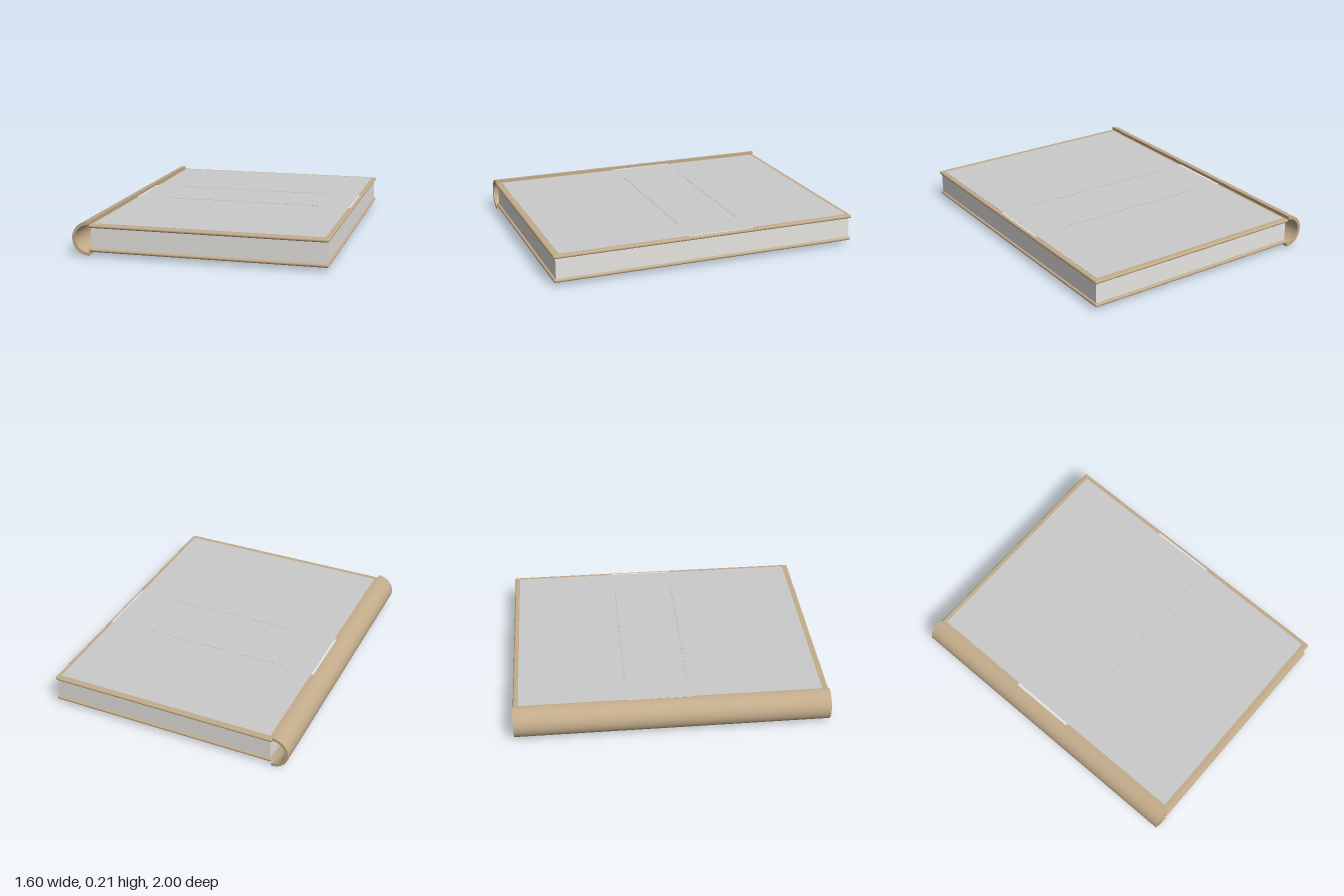
import * as THREE from 'three';
import { RoundedBoxGeometry } from 'three/addons/geometries/RoundedBoxGeometry.js';

const leather = new THREE.MeshStandardMaterial({ color: 0xc3ac8b });
const paper = new THREE.MeshStandardMaterial({ color: 0xe6e5e1 });
const grey = new THREE.MeshStandardMaterial({ color: 0xcccccc });

export function createModel() {
  const book = new THREE.Group();
  book.name = 'book';

  const add = (name, geometry, material, x = 0, y = 0, z = 0) => {
    const mesh = new THREE.Mesh(geometry, material);
    mesh.name = name;
    mesh.position.set(x, y, z);
    book.add(mesh);
    return mesh;
  };
  // Box given by its limits on each axis
  const slab = (name, material, [x0, x1], [y0, y1], [z0, z1]) =>
    add(name, new THREE.BoxGeometry(x1 - x0, y1 - y0, z1 - z0), material,
      (x0 + x1) / 2, (y0 + y1) / 2, (z0 + z1) / 2);

  // Front and back boards with rounded edges
  const board = new RoundedBoxGeometry(1.494, 0.022, 2, 4, 0.0108);
  add('bottomCover', board, leather, 0.053, 0.035, 0);
  add('topCover', board, leather, 0.053, 0.186, 0);

  // Page block
  slab('pages', paper, [-0.68, 0.788], [0.044, 0.177], [-0.985, 0.985]);

  // Half-tube spine, open towards the pages
  const arc = new THREE.Shape();
  arc.absarc(0, 0, 0.107, Math.PI / 2, Math.PI * 1.5, false);
  arc.absarc(0, 0, 0.087, Math.PI * 1.5, Math.PI / 2, true);
  arc.closePath();
  const spine = new THREE.ExtrudeGeometry(arc, { depth: 2, bevelEnabled: false, curveSegments: 32 });
  smoothTube(spine);
  add('spine', spine, leather, -0.693, 0.107, -1);

  // Cover sheet and the narrow band under it
  slab('coverBand', paper, [-0.688, 0.784], [0.19, 0.1976], [-0.3, 0.13]);
  slab('coverSheet', grey, [-0.67, 0.772], [0.19, 0.1984], [-0.967, 0.96]);

  // Two rows of small studs
  const stud = new THREE.CylinderGeometry(0.007, 0.007, 0.006, 10);
  const count = 36;
  for (const z of [-0.285, 0.115]) {
    for (let i = 0; i < count; i++) {
      add('stud', stud, grey, -0.46 + (1.025 * i) / (count - 1), 0.199, z);
    }
  }
  return book;
}

// Radial normals on the curved walls; flat ends and lips keep theirs
function smoothTube(geometry) {
  const p = geometry.attributes.position, n = geometry.attributes.normal;
  for (let i = 0; i < p.count; i++) {
    const r = Math.hypot(p.getX(i), p.getY(i));
    const rx = p.getX(i) / r, ry = p.getY(i) / r;
    const dot = rx * n.getX(i) + ry * n.getY(i);
    if (Math.abs(dot) > 0.9) n.setXYZ(i, rx * Math.sign(dot), ry * Math.sign(dot), 0);
  }
}
